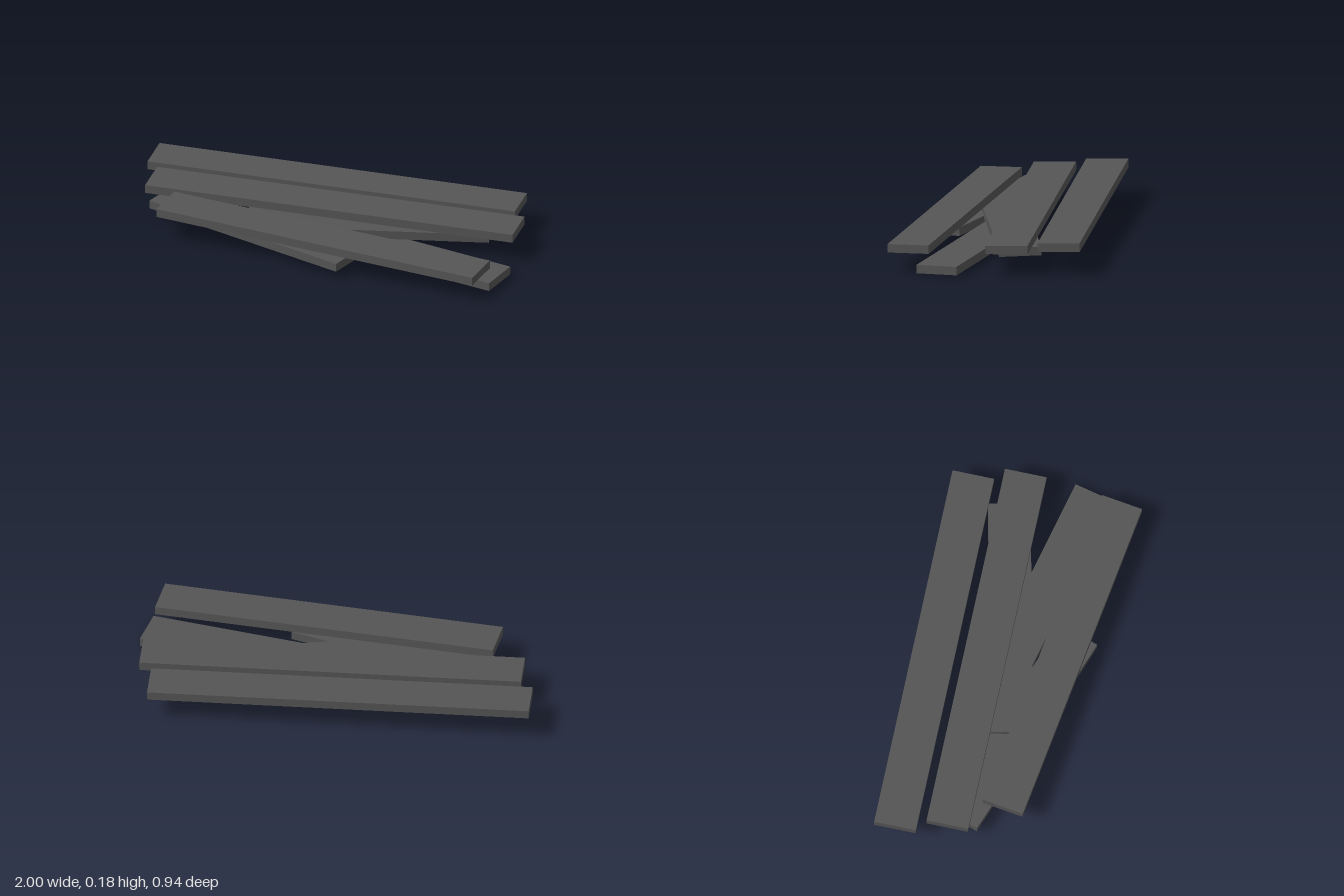
import * as THREE from 'three';

const WIDTH = 0.206, THICK = 0.042, CROSS_TILT = -0.025;

// One board laid between the middles of its two top end edges
function plank(name, left, right, material) {
  const a = new THREE.Vector3(...left), b = new THREE.Vector3(...right);
  const along = b.clone().sub(a);
  const length = along.length();
  along.normalize();
  const across = new THREE.Vector3(-along.z, 0, along.x).normalize();
  across.y = CROSS_TILT * across.z;
  const up = across.clone().cross(along).normalize();
  across.crossVectors(along, up);

  const geometry = new THREE.BoxGeometry(length, THICK, WIDTH);
  geometry.translate(0, -THICK / 2, 0);
  const mesh = new THREE.Mesh(geometry, material);
  mesh.name = name;
  mesh.quaternion.setFromRotationMatrix(new THREE.Matrix4().makeBasis(along, up, across));
  mesh.position.copy(a).add(b).multiplyScalar(0.5);
  return mesh;
}

export function createModel() {
  const group = new THREE.Group();
  group.name = 'plankPile';
  const wood = new THREE.MeshStandardMaterial({ color: 0x555555, flatShading: true });

  // name, left end (x, y, z), right end (x, y, z)
  const boards = [
    // three long boards on top
    ['topPlankBack', [-0.9925, 0.1775, -0.15], [0.85, 0.1605, -0.3675]],
    ['topPlankMiddle', [-0.9025, 0.1705, 0.0875], [0.94, 0.155, -0.13]],
    ['topPlankFront', [-0.73, 0.17, 0.3125], [0.9525, 0.137, 0.3575]],
    // three short boards underneath
    ['crossPlank', [-0.335, 0.121, 0.225], [0.78, 0.1135, -0.16]],
    ['lowerPlankLeft', [-0.83, 0.1095, 0.122], [0.26, 0.082, 0.37]],
    ['bottomPlankRight', [-0.05, 0.069, 0.09], [0.9865, 0.0475, 0.2075]],
  ];
  for (const [name, left, right] of boards) group.add(plank(name, left, right, wood));
  return group;
}
